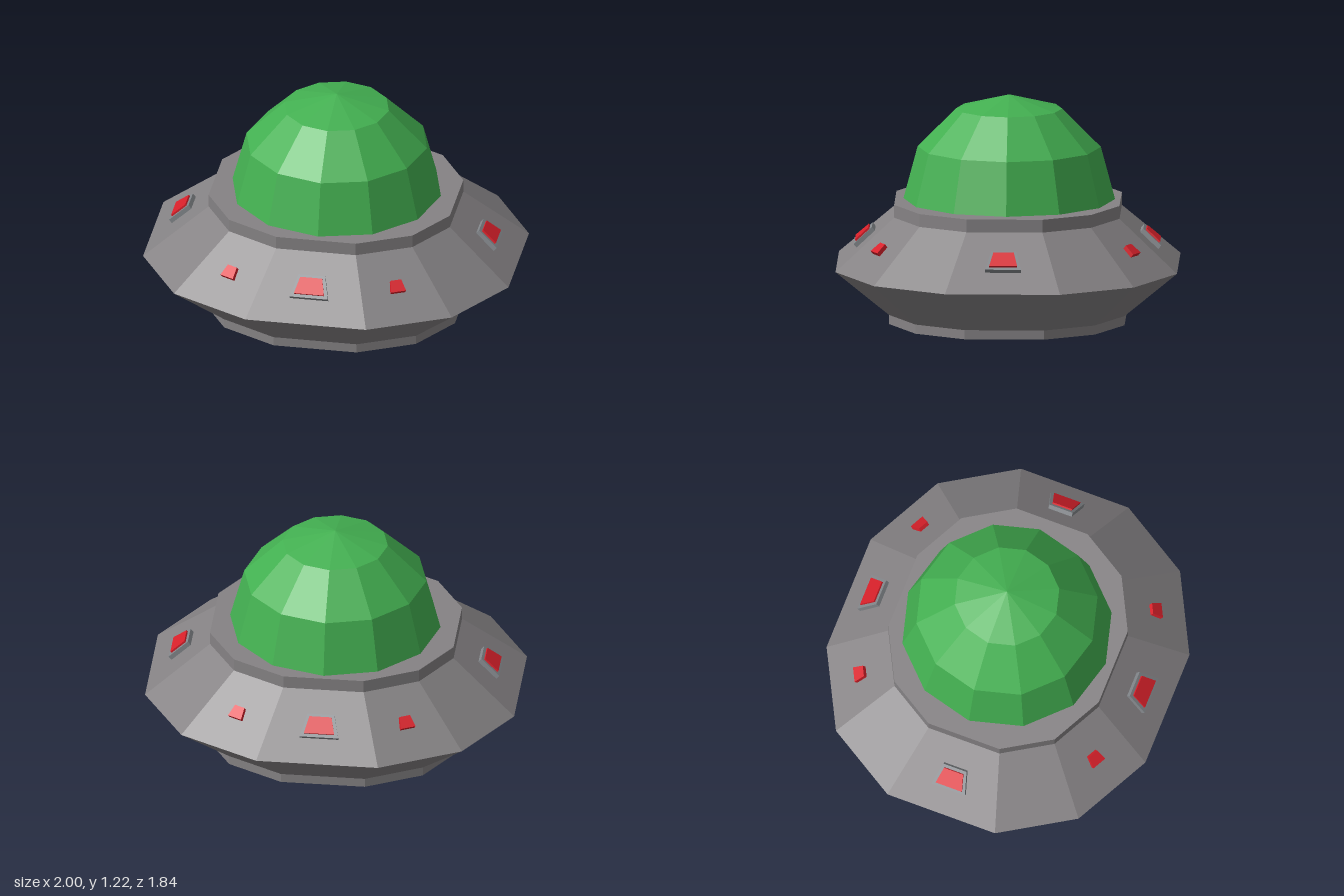
import * as THREE from 'three';

const hullGrey = new THREE.MeshStandardMaterial({ color: 0x858284, flatShading: true });
const frameGrey = new THREE.MeshStandardMaterial({ color: 0x82868a, flatShading: true });
const red = new THREE.MeshStandardMaterial({ color: 0xd8202a, flatShading: true });
const green = new THREE.MeshStandardMaterial({ color: 0x43b051, flatShading: true });

// Rim outline [x, z], running from front to left to back to right
const quarter = [[0.33, 0.92], [0.76, 0.7], [1, 0.31]];
const back = [...quarter].reverse().map(([x, z]) => [x, -z]);
const half = [...quarter, ...back];
const rim = [...half, ...half.map(([x, z]) => [-x, -z])];

const RIM_Y = 0.3, COLLAR_Y = 0.58, TOP_Y = 0.65;
const COLLAR = 0.66, BASE = 0.69;

function addMesh(parent, name, geometry, material) {
  const mesh = new THREE.Mesh(geometry, material);
  mesh.name = name;
  parent.add(mesh);
  return mesh;
}

// Skins scaled copies of the rim outline; levels are [scale, y], bottom to top
function loft(levels) {
  const pos = [];
  const n = rim.length;
  const point = ([s, y], i) => [rim[i % n][0] * s, y, rim[i % n][1] * s];
  for (let k = 0; k < levels.length - 1; k++) {
    const [lo, hi] = [levels[k], levels[k + 1]];
    for (let i = 0; i < n; i++) {
      const a = point(lo, i), b = point(lo, i + 1);
      const c = point(hi, i + 1), d = point(hi, i);
      if (lo[0] > 0) pos.push(...a, ...b, ...(hi[0] > 0 ? c : d));
      if (hi[0] > 0) pos.push(...a, ...c, ...d);
    }
  }
  const g = new THREE.BufferGeometry();
  g.setAttribute('position', new THREE.Float32BufferAttribute(pos, 3));
  g.computeVertexNormals();
  return g;
}

// Trapezoid plate, wider at its lower edge
function plate(bottom, top, height, depth) {
  const h = height / 2;
  const shape = new THREE.Shape([
    new THREE.Vector2(-bottom, -h), new THREE.Vector2(bottom, -h),
    new THREE.Vector2(top, h), new THREE.Vector2(-top, h),
  ]);
  return new THREE.ExtrudeGeometry(shape, { depth, bevelEnabled: false });
}

// Group lying on one upper hull facet: x along the rim, y up the slope, z outward
function facetGroup(i, name) {
  const n = rim.length;
  const [ax, az] = rim[(i + n - 1) % n], [bx, bz] = rim[i];
  const low = new THREE.Vector3((ax + bx) / 2, RIM_Y, (az + bz) / 2);
  const high = new THREE.Vector3(low.x * COLLAR, COLLAR_Y, low.z * COLLAR);
  const along = new THREE.Vector3(bx - ax, 0, bz - az).normalize();
  const out = along.clone().cross(high.clone().sub(low)).normalize();
  const up = out.clone().cross(along);
  const group = new THREE.Group();
  group.name = name;
  group.quaternion.setFromRotationMatrix(new THREE.Matrix4().makeBasis(along, up, out));
  group.position.lerpVectors(low, high, 0.5);
  return group;
}

export function createModel() {
  const model = new THREE.Group();
  model.name = 'flyingSaucer';

  // Faceted hull
  addMesh(model, 'base', loft([[0, 0], [BASE, 0], [BASE, 0.05]]), hullGrey);
  addMesh(model, 'lowerHull', loft([[BASE, 0.05], [1, RIM_Y]]), hullGrey);
  addMesh(model, 'upperHull', loft([[1, RIM_Y], [COLLAR, COLLAR_Y]]), hullGrey);
  addMesh(model, 'collar', loft([[COLLAR, COLLAR_Y], [COLLAR, TOP_Y], [0, TOP_Y]]), hullGrey);

  // Glass dome
  const dome = new THREE.SphereGeometry(0.57, 12, 3, 0, Math.PI * 2, 0, Math.PI / 2);
  addMesh(model, 'dome', dome, green).position.set(0.003, TOP_Y, -0.007);

  // Large framed lights on the four main facets, narrower on the sides
  for (const [i, w] of [[0, 1], [3, 0.92], [6, 1], [9, 0.92]]) {
    const light = facetGroup(i, 'framedLight');
    addMesh(light, 'lightFrame', plate(0.105 * w, 0.073 * w, 0.131, 0.025), frameGrey);
    addMesh(light, 'lightPane', plate(0.082 * w, 0.06 * w, 0.096, 0.015), red).position.z = 0.02;
    model.add(light);
  }

  // Small lights beside the front and back ones
  const lamp = plate(0.042, 0.03, 0.068, 0.023);
  for (const i of [1, 5, 7, 11]) {
    const light = facetGroup(i, 'smallLight');
    addMesh(light, 'smallLamp', lamp, red);
    model.add(light);
  }
  return model;
}
